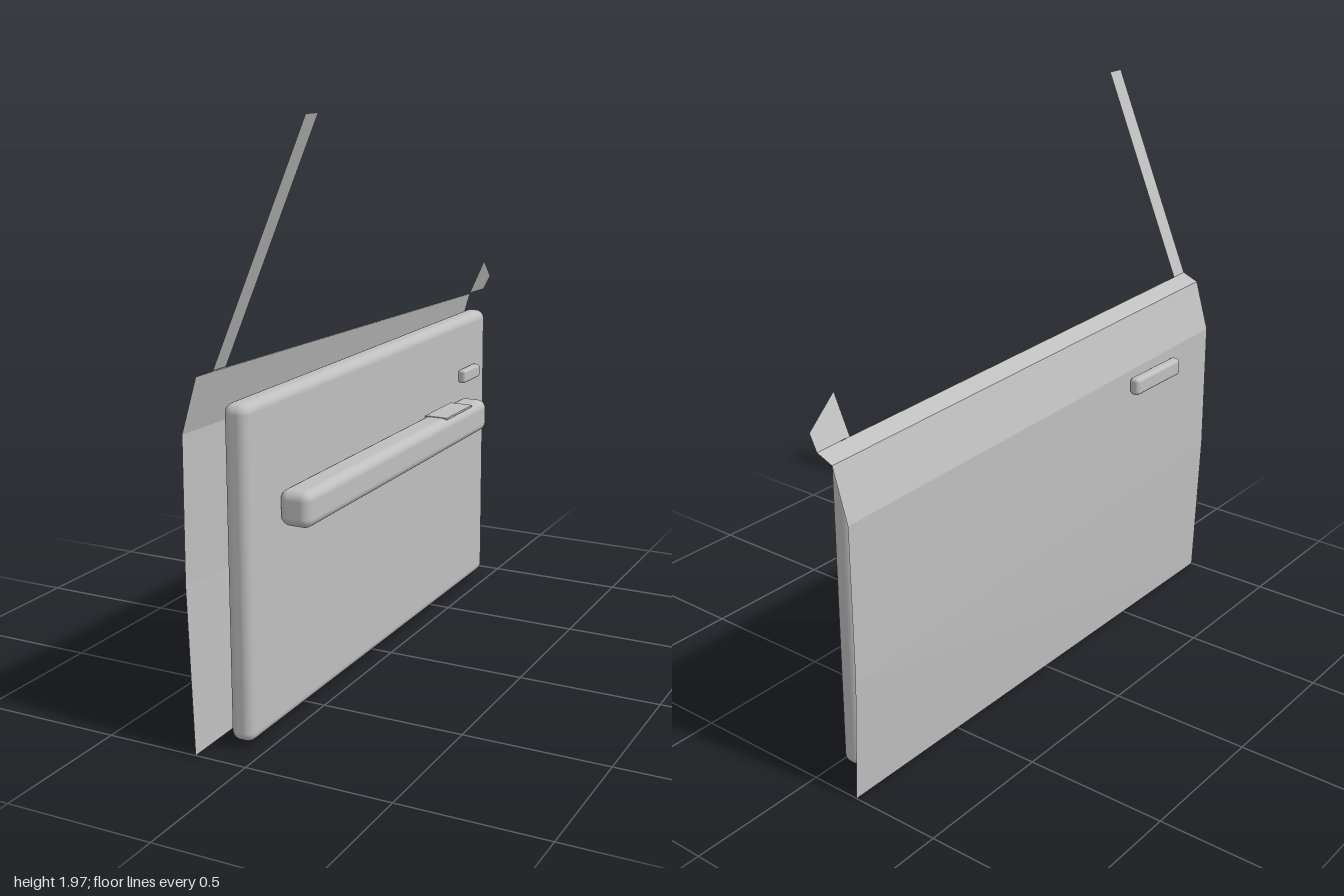
import * as THREE from 'three';
import { RoundedBoxGeometry } from 'three/addons/geometries/RoundedBoxGeometry.js';

const grey = new THREE.MeshStandardMaterial({ color: 0xbfbfbf, side: THREE.DoubleSide });
grey.name = 'light grey';

// Thin sheet spanning two matching edges of [x, y, z] points, with hard creases
function sheet(name, edgeA, edgeB) {
  const pos = [];
  for (let i = 0; i < edgeA.length - 1; i++) {
    const a = edgeA[i], b = edgeB[i], c = edgeB[i + 1], d = edgeA[i + 1];
    pos.push(...a, ...c, ...b, ...a, ...d, ...c);
  }
  const geo = new THREE.BufferGeometry();
  geo.setAttribute('position', new THREE.Float32BufferAttribute(pos, 3));
  geo.computeVertexNormals();
  const mesh = new THREE.Mesh(geo, grey);
  mesh.name = name;
  return mesh;
}

// Rounded block given by its minimum and maximum corners
function block(name, [x0, y0, z0], [x1, y1, z1], radius) {
  const geo = new RoundedBoxGeometry(x1 - x0, y1 - y0, z1 - z0, 4, radius);
  const mesh = new THREE.Mesh(geo, grey);
  mesh.position.set((x0 + x1) / 2, (y0 + y1) / 2, (z0 + z1) / 2);
  mesh.name = name;
  return mesh;
}

export function createModel() {
  const door = new THREE.Group();
  door.name = 'door';

  // Outer skin with folded-in waist rail: x, height at the front edge, height at the back edge
  const profile = [
    [-0.18, 0, 0],
    [-0.198, 0.55, 0.44],
    [-0.194, 1.025, 0.97],
    [-0.14, 1.205, 1.15],
    [-0.08, 1.23, 1.175],
  ];
  door.add(sheet('outerSkin',
    profile.map(([x, y]) => [x, y, 1]),
    profile.map(([x, , y]) => [x, y, -1])));

  // Window frame: tall front pillar and short rear fin, both leaning inwards
  door.add(sheet('frontPillar',
    [[-0.08, 1.23, 1], [0.238, 1.97, 1]],
    [[-0.08, 1.228, 0.93], [0.238, 1.97, 0.93]]));
  door.add(sheet('rearFin',
    [[-0.08, 1.179, -0.86], [-0.02, 1.31, -0.86]],
    [[-0.08, 1.175, -1], [-0.053, 1.23, -1]]));

  // Inner trim
  door.add(block('innerPanel', [-0.115, 0.025, -0.91], [-0.03, 1.11, 0.91], 0.033));
  door.add(block('armrest', [-0.032, 0.685, -0.677], [0.08, 0.805, 0.73], 0.032));
  door.add(block('switchPlate', [-0.02, 0.8, -0.55], [0.07, 0.808, -0.32], 0.002));

  // Handles
  door.add(block('innerHandle', [-0.032, 0.865, -0.787], [0, 0.915, -0.64], 0.01));
  door.add(block('outerHandle', [-0.24, 0.925, 0.46], [-0.2, 0.99, 0.745], 0.015));

  return door;
}
